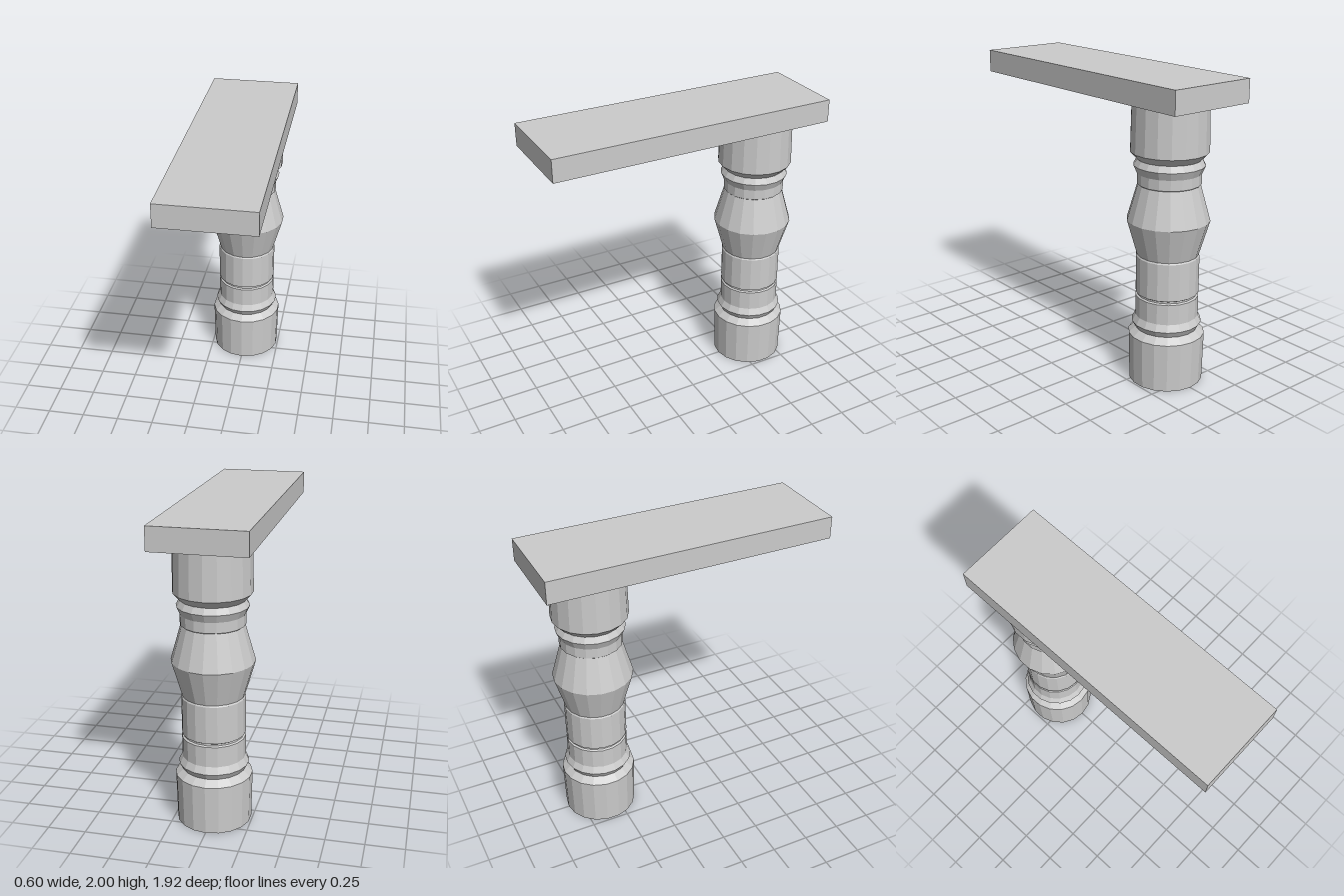
import * as THREE from 'three';

export function createModel() {
  const model = new THREE.Group();
  const material = new THREE.MeshStandardMaterial({ color: 0xcccccc, flatShading: true });

  // Long slab resting on the column
  const slab = new THREE.Mesh(new THREE.BoxGeometry(0.6, 0.15, 1.92), material);
  slab.name = 'slab';
  slab.position.y = 1.925;
  model.add(slab);

  // Turned column near the back: [radius, height] from foot to top
  const profile = [
    [0, 0], [0.241, 0], [0.248, 0.325], // foot
    [0.204, 0.365], [0.226, 0.405], [0.204, 0.45], // lower ring
    [0.204, 0.585], [0.192, 0.592], [0.192, 0.603], [0.204, 0.61], // groove
    [0.204, 0.855], [0.198, 0.865], // lower shaft
    [0.265, 1.095], [0.2, 1.322], [0.198, 1.328], [0.204, 1.333], // bulge
    [0.204, 1.40], [0.226, 1.45], [0.204, 1.49], // upper ring
    [0.248, 1.537], [0.241, 1.85], [0, 1.85], // head
  ].map(([r, y]) => new THREE.Vector2(r, y));
  const column = new THREE.Mesh(new THREE.LatheGeometry(profile, 18), material);
  column.name = 'column';
  column.position.z = -0.6;
  model.add(column);

  return model;
}
